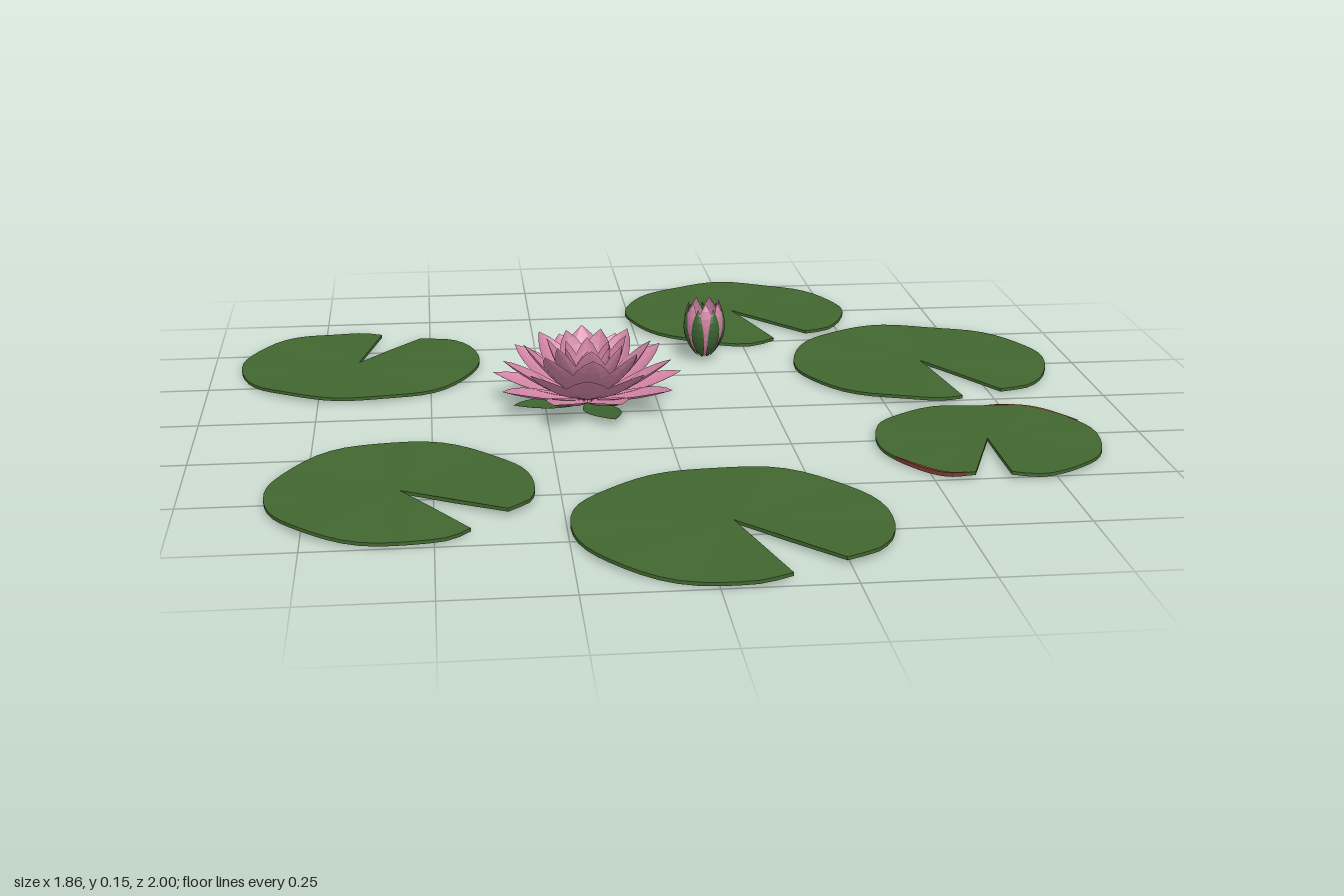
import * as THREE from 'three';
import { toCreasedNormals } from 'three/addons/utils/BufferGeometryUtils.js';

const mat = (name, color, side = THREE.FrontSide) => {
  const m = new THREE.MeshStandardMaterial({ color, side });
  m.name = name;
  return m;
};

function grid(points, rows, cols) {
  const index = [];
  for (let i = 0; i < rows - 1; i++) {
    for (let j = 0; j < cols - 1; j++) {
      const a = i * cols + j, b = a + 1, c = a + cols, d = c + 1;
      index.push(a, c, b, b, c, d);
    }
  }
  const g = new THREE.BufferGeometry();
  g.setAttribute('position', new THREE.Float32BufferAttribute(points, 3));
  g.setIndex(index);
  return g;
}

// Pads: notch apex, bounds [xMin, xMax, zMin, zMax], and the two notch tips
const PADS = [
  { c: [0.26, -0.74], b: [-0.01, 0.54, -1.0, -0.46], from: [0.33, -0.49], to: [0.41, -0.54] },
  { c: [0.64, -0.27], b: [0.345, 0.93, -0.565, 0.02], from: [0.68, 0.0], to: [0.78, -0.03] },
  { c: [0.66, 0.29], b: [0.425, 0.897, 0.06, 0.525], from: [0.58, 0.505], to: [0.655, 0.515], rim: true },
  { c: [0.065, 0.7], b: [-0.245, 0.37, 0.41, 1.0], from: [0.135, 0.965], to: [0.24, 0.91] },
  { c: [-0.565, 0.475], b: [-0.83, -0.3, 0.19, 0.745], from: [-0.43, 0.685], to: [-0.36, 0.605] },
  { c: [-0.665, -0.39], b: [-0.935, -0.385, -0.64, -0.12], from: [-0.52, -0.59], to: [-0.615, -0.62] },
];

function makePad(p, k, leaf, rimMat) {
  const [cx, cz] = p.c, [x0, x1, z0, z1] = p.b;
  const start = Math.atan2(p.from[1] - cz, p.from[0] - cx);
  let end = Math.atan2(p.to[1] - cz, p.to[0] - cx);
  if (end < start) end += Math.PI * 2;

  // Point on the pad at angle a, fraction t of the radius, and height offset dy
  const at = (a, t, dy) => {
    const c = Math.cos(a), s = Math.sin(a);
    const rx = c > 0 ? x1 - cx : cx - x0, rz = s > 0 ? z1 - cz : cz - z0;
    const edge = Math.min(Math.abs(a - start), Math.abs(end - a));
    const r = t / Math.hypot(c / rx, s / rz) * (1 - 0.08 * Math.exp(-((edge / 0.15) ** 2)));
    const wave = t * t * (0.003 * Math.sin(3 * a + k * 1.7) + 0.002 * Math.sin(7 * a + k));
    return [cx + r * c, 0.016 + wave + dy, cz + r * s];
  };

  const section = [[0, 0.003], [0.5, 0.003], [1, 0.003], [1, -0.004], [0.5, -0.004], [0, -0.004]];
  const rows = 49, cols = section.length, pts = [];
  for (let i = 0; i < rows; i++) {
    const a = start + (end - start) * i / (rows - 1);
    for (const [t, dy] of section) pts.push(...at(a, t, dy));
  }
  const geo = grid(pts, rows, cols);
  // Close the two notch walls
  const index = [...geo.index.array], last = (rows - 1) * cols;
  for (let j = 1; j < cols - 1; j++) {
    index.push(0, j, j + 1, last, last + j + 1, last + j);
  }
  geo.setIndex(index);

  const group = new THREE.Group();
  group.name = 'lilyPad' + (k + 1);
  const blade = new THREE.Mesh(toCreasedNormals(geo, 0.7), leaf);
  blade.name = 'padBlade';
  group.add(blade);

  // Reddish slivers along the rim
  if (p.rim) {
    for (const [d0, d1] of [[115, 156], [285, 338]]) {
      const arc = [], n = 13;
      for (let i = 0; i < n; i++) {
        const a = THREE.MathUtils.degToRad(d0 + (d1 - d0) * i / (n - 1));
        const w = 0.03 * Math.sin(Math.PI * i / (n - 1));
        arc.push(...at(a, 1 - w, 0.0045), ...at(a, 1.004, 0.0045), ...at(a, 1.004, -0.004));
      }
      const rimGeo = grid(arc, n, 3);
      const rim = new THREE.Mesh(toCreasedNormals(rimGeo, 0.7), rimMat);
      rim.name = 'padRim';
      group.add(rim);
    }
  }
  return group;
}

// Petal curving from elevation e0 to e1 (degrees) along its length, pointing to +x
function petalGeometry({ len, half, e0, e1, r0, y0, cup }) {
  const rows = 9, pts = [];
  let r = r0, y = y0;
  for (let i = 0; i < rows; i++) {
    const t = i / (rows - 1), step = len / (rows - 1);
    const e = THREE.MathUtils.degToRad(e0 + (e1 - e0) * t);
    if (i > 0) { r += Math.cos(e) * step; y += Math.sin(e) * step; }
    const w = half * (0.25 * (1 - t) + Math.sin(Math.PI * t ** 1.1) ** 0.8 * 0.95);
    for (const s of [-1, -0.5, 0, 0.5, 1]) {
      const lift = cup * w * s * s;
      pts.push(r - Math.sin(e) * lift, y + Math.cos(e) * lift, s * w);
    }
  }
  // Faceted, with the front on the inner (upper) side
  const g = grid(pts, rows, 5);
  const idx = g.index.array;
  for (let i = 0; i < idx.length; i += 3) [idx[i + 1], idx[i + 2]] = [idx[i + 2], idx[i + 1]];
  const flat = g.toNonIndexed();
  flat.computeVertexNormals();
  return flat;
}

function whorl(name, n, offset, spec, material) {
  const group = new THREE.Group();
  group.name = name;
  const geo = petalGeometry(spec);
  for (let i = 0; i < n; i++) {
    const m = new THREE.Mesh(geo, material);
    m.name = name + 'Petal';
    m.rotation.y = offset + i * Math.PI * 2 / n;
    group.add(m);
  }
  return group;
}

export function createModel() {
  const model = new THREE.Group();
  model.name = 'waterLilies';
  const leaf = mat('leafGreen', 0x41662f);
  const rim = mat('rimRed', 0x7a3b2c, THREE.DoubleSide);
  const pink = mat('petalPink', 0xd083a3, THREE.DoubleSide);
  const sepal = mat('sepalGreen', 0x3c6330, THREE.DoubleSide);
  const olive = mat('centreOlive', 0x8a8450);
  const dark = mat('centreDark', 0x38302a);

  PADS.forEach((p, k) => model.add(makePad(p, k, leaf, rim)));

  // Open flower, whorls from the outside inwards
  const flower = new THREE.Group();
  flower.name = 'flower';
  flower.position.set(-0.155, 0, -0.065);
  flower.add(whorl('flowerSepal', 4, 1.85,
    { len: 0.165, half: 0.036, e0: -4, e1: 12, r0: 0.01, y0: 0.01, cup: 0.2 }, sepal));
  const layers = [
    [9, 0.2, 0.042, 5, 22, 0.02],
    [9, 0.195, 0.042, 14, 42, 0.02],
    [8, 0.175, 0.04, 30, 58, 0.02],
    [7, 0.148, 0.034, 48, 72, 0.02],
    [6, 0.122, 0.026, 62, 82, 0.02],
  ];
  layers.forEach(([n, len, half, e0, e1, r0], i) => flower.add(whorl('flowerLayer' + (i + 1), n, i * 0.35 + 0.1,
    { len, half, e0, e1, r0, y0: 0.02 + i * 0.002, cup: 0.28 }, pink)));
  const disc = new THREE.Mesh(new THREE.CylinderGeometry(0.022, 0.018, 0.045, 12), olive);
  disc.name = 'flowerCentre';
  disc.position.y = 0.043;
  const cap = new THREE.Mesh(new THREE.CylinderGeometry(0.013, 0.013, 0.004, 12), dark);
  cap.name = 'centreCap';
  cap.position.y = 0.067;
  flower.add(disc, cap);
  model.add(flower);

  // Closed bud: pink petals wrapped by narrow green sepals
  const bud = new THREE.Group();
  bud.name = 'bud';
  bud.position.set(0.143, 0, -0.37);
  bud.add(whorl('budInner', 7, 0.2,
    { len: 0.142, half: 0.022, e0: 40, e1: 112, r0: 0.013, y0: 0.02, cup: 0.3 }, pink));
  bud.add(whorl('budSepal', 7, 0.65,
    { len: 0.132, half: 0.014, e0: 36, e1: 112, r0: 0.015, y0: 0.018, cup: 0.3 }, sepal));
  model.add(bud);
  return model;
}
